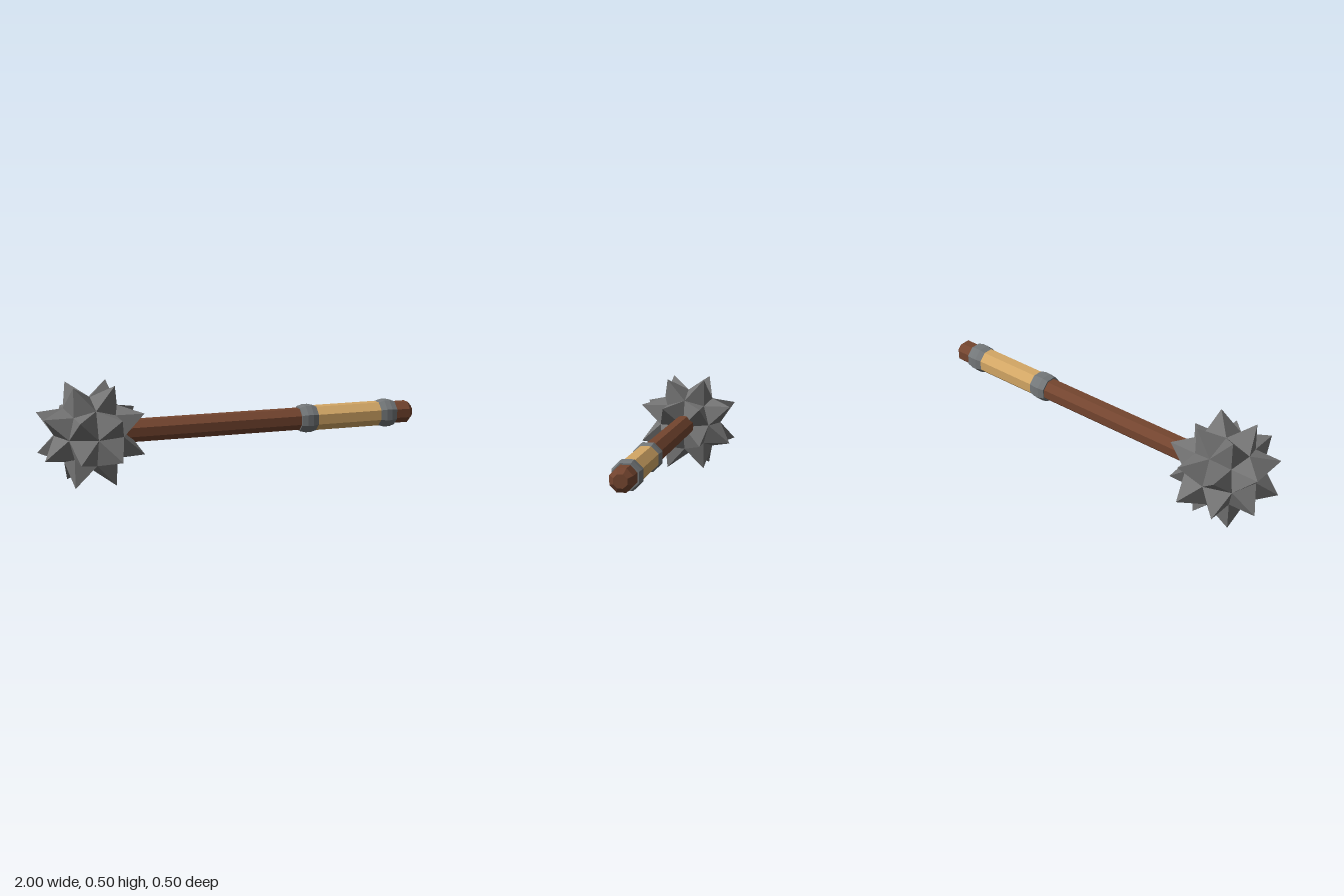
import * as THREE from 'three';

const flat = (name, color) => {
  const m = new THREE.MeshStandardMaterial({ color, flatShading: true });
  m.name = name;
  return m;
};

// Spiked ball: a sphere of 24 kite faces, each raised into a four-sided spike
function spikedBall() {
  const AXIS = 0.183, EDGE = 0.136, CORNER = 0.104, TIP = 0.25, SIDE = 0.103;
  const positions = [];
  const tri = (a, b, c) => {
    const outward = a.clone().cross(b).dot(c) > 0;
    for (const p of outward ? [a, b, c] : [a, c, b]) positions.push(p.x, p.y, p.z);
  };
  for (let k = 0; k < 3; k++) {
    for (let s = 0; s < 8; s++) {
      // point with its main value on axis k, mirrored into octant s
      const point = (main, u, v) => {
        const p = [0, 0, 0];
        p[k] = main;
        p[(k + 1) % 3] = u;
        p[(k + 2) % 3] = v;
        return new THREE.Vector3(...p.map((n, i) => (s & (1 << i) ? -n : n)));
      };
      const tip = point(TIP, SIDE, SIDE);
      const base = [
        point(AXIS, 0, 0), point(EDGE, EDGE, 0),
        point(CORNER, CORNER, CORNER), point(EDGE, 0, EDGE),
      ];
      base.forEach((p, i) => tri(p, base[(i + 1) % 4], tip));
    }
  }
  const g = new THREE.BufferGeometry();
  g.setAttribute('position', new THREE.Float32BufferAttribute(positions, 3));
  g.computeVertexNormals();
  return g;
}

// Eight-sided turned part along x; profile is [x, half height across the flats]
function turned(profile) {
  const pts = profile.map(([x, r]) => new THREE.Vector2(r / Math.cos(Math.PI / 8), x));
  return new THREE.LatheGeometry(pts, 8, Math.PI / 8).rotateZ(-Math.PI / 2);
}

export function createModel() {
  const wood = flat('dark wood', 0x74452f);
  const wrap = flat('tan leather', 0xd3a765);
  const iron = flat('dark iron', 0x747474);
  const steel = flat('grey steel', 0x737779);

  const model = new THREE.Group();
  model.name = 'mace';
  const add = (name, geometry, material, x = 0) => {
    const mesh = new THREE.Mesh(geometry, material);
    mesh.name = name;
    mesh.position.set(x, 0.252, 0);
    model.add(mesh);
  };

  add('spikedHead', spikedBall(), iron, -0.75);

  // Shaft with a bevelled end
  add('shaft', turned([[-0.6, 0], [-0.6, 0.055], [0.975, 0.055], [1, 0.032], [1, 0]]), wood);

  // Grip and the two collars that hold it
  add('grip', turned([[0.42, 0.062], [0.83, 0.062]]), wrap);
  for (const [name, x] of [['frontCollar', 0.401], ['rearCollar', 0.851]]) {
    add(name, turned([
      [-0.046, 0.054], [-0.046, 0.062], [-0.015, 0.07],
      [0.015, 0.07], [0.046, 0.062], [0.046, 0.054],
    ]), steel, x);
  }
  return model;
}
